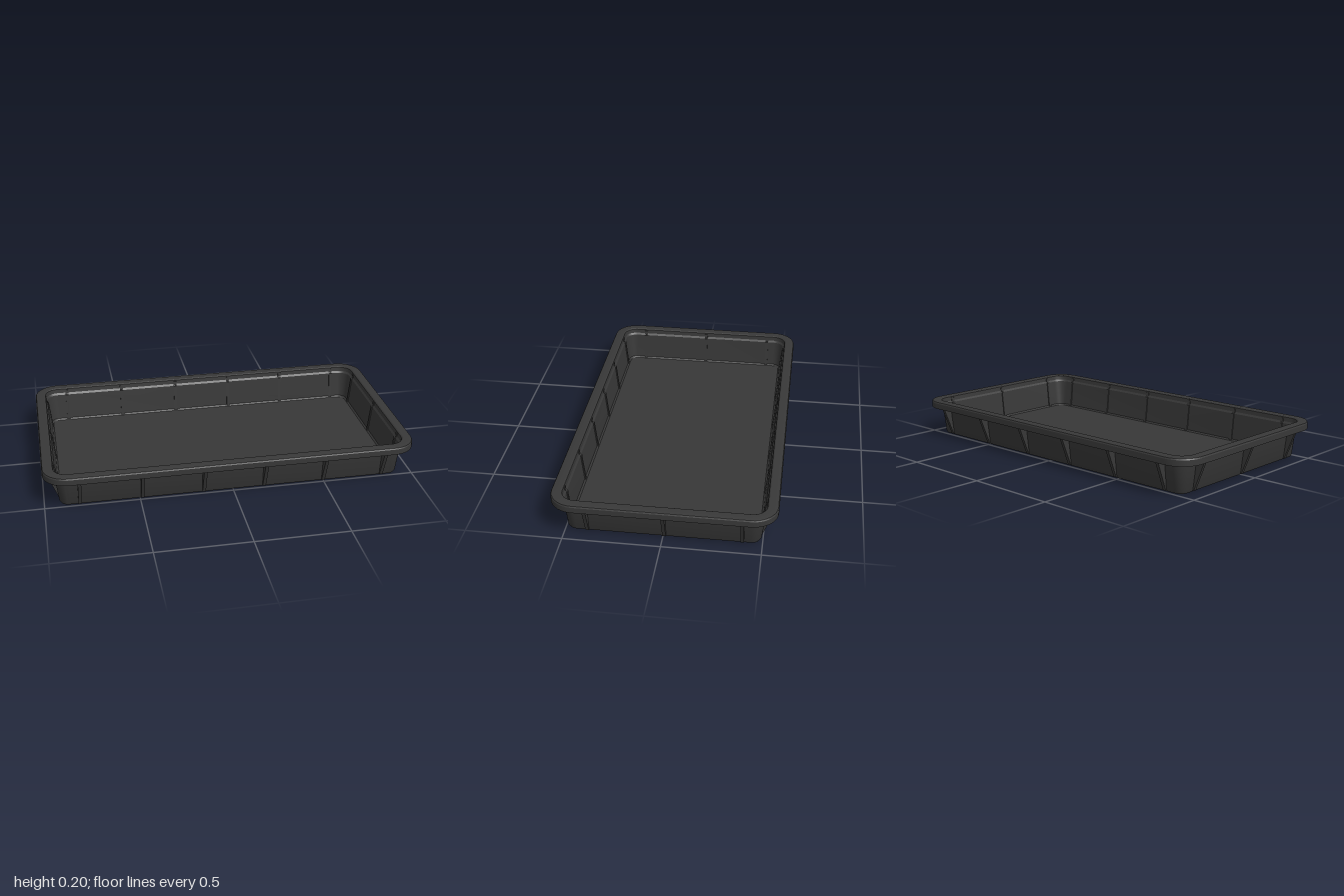
import * as THREE from 'three';
import { toCreasedNormals } from 'three/addons/utils/BufferGeometryUtils.js';

const SHIFT = 0.4275; // half length minus half width, the same at every height
const STEPS = 8;      // segments per rounded corner

// Rounded rectangle loop; corners get tighter towards the inside
function loop(hx, y) {
  const hz = hx - SHIFT;
  const r = Math.max(0.045, hx - 0.87);
  const corners = [[1, 1], [-1, 1], [-1, -1], [1, -1]];
  const pts = [];
  corners.forEach(([sx, sz], q) => {
    for (let i = 0; i <= STEPS; i++) {
      const a = (q + i / STEPS) * Math.PI / 2;
      pts.push([sx * (hx - r) + r * Math.cos(a), y, sz * (hz - r) + r * Math.sin(a)]);
    }
  });
  return pts;
}

// Skin a [half length, height] profile around the tray and close both ends
function sweep(profile) {
  const loops = profile.map(([hx, y]) => loop(hx, y));
  const n = loops[0].length;
  const pos = [];
  const tri = (a, b, c) => pos.push(...a, ...b, ...c);
  const first = loops[0], last = loops[loops.length - 1];
  for (let i = 0; i < n; i++) {
    const k = (i + 1) % n;
    for (let j = 0; j < loops.length - 1; j++) {
      const lo = loops[j], up = loops[j + 1];
      tri(lo[i], up[i], up[k]);
      tri(lo[i], up[k], lo[k]);
    }
    tri([0, first[0][1], 0], first[i], first[k]);
    tri([0, last[0][1], 0], last[k], last[i]);
  }
  const geo = new THREE.BufferGeometry();
  geo.setAttribute('position', new THREE.Float32BufferAttribute(pos, 3));
  return toCreasedNormals(geo, 0.5);
}

// Upright plate from an outline in (outward, up)
function plate(outline, width) {
  const shape = new THREE.Shape(outline.map(([x, y]) => new THREE.Vector2(x, y)));
  const geo = new THREE.ExtrudeGeometry(shape, { depth: width, bevelEnabled: false });
  return geo.translate(0, 0, -width / 2);
}

export function createModel() {
  const group = new THREE.Group();
  group.name = 'tray';
  const material = new THREE.MeshStandardMaterial({ color: 0x383838 });

  // Thin shell: underside, outer wall, turned-down lip, rim, inner wall, floor
  const shell = new THREE.Mesh(sweep([
    [0.905, 0], [0.915, 0.004], [0.921, 0.014],
    [0.942, 0.192], [0.986, 0.192], [0.988, 0.165], [1, 0.165],
    [1, 0.196], [0.996, 0.203], [0.988, 0.205],
    [0.95, 0.205], [0.943, 0.201], [0.94, 0.178], [0.932, 0.168],
    [0.917, 0.02], [0.908, 0.012],
  ]), material);
  shell.name = 'trayShell';
  group.add(shell);

  // Outside gussets under the rim and slim ribs on the inner wall
  const gussetGeo = plate([[0.915, 0.008], [0.925, 0.008], [0.987, 0.165], [0.987, 0.195], [0.938, 0.195]], 0.018);
  const ribGeo = plate([[0.92, 0.01], [0.937, 0.172], [0.927, 0.168], [0.91, 0.01]], 0.016);

  function addRibs(x, z, angle, shift) {
    const station = new THREE.Group();
    station.name = 'ribStation';
    const gusset = new THREE.Mesh(gussetGeo, material);
    gusset.name = 'outerGusset';
    const rib = new THREE.Mesh(ribGeo, material);
    rib.name = 'innerRib';
    station.add(gusset, rib);
    station.rotation.y = angle;
    station.position.set(x - shift * Math.cos(angle), 0, z + shift * Math.sin(angle));
    group.add(station);
  }

  for (const s of [1, -1]) {
    // Long walls
    for (let i = 0; i < 6; i++) addRibs(0.005 + (i - 2.5) * 0.328, 0, -s * Math.PI / 2, SHIFT);
    // Short walls
    for (let i = 0; i < 3; i++) addRibs(0, -0.007 + (i - 1) * 0.393, s > 0 ? 0 : Math.PI, 0);
  }
  return group;
}
